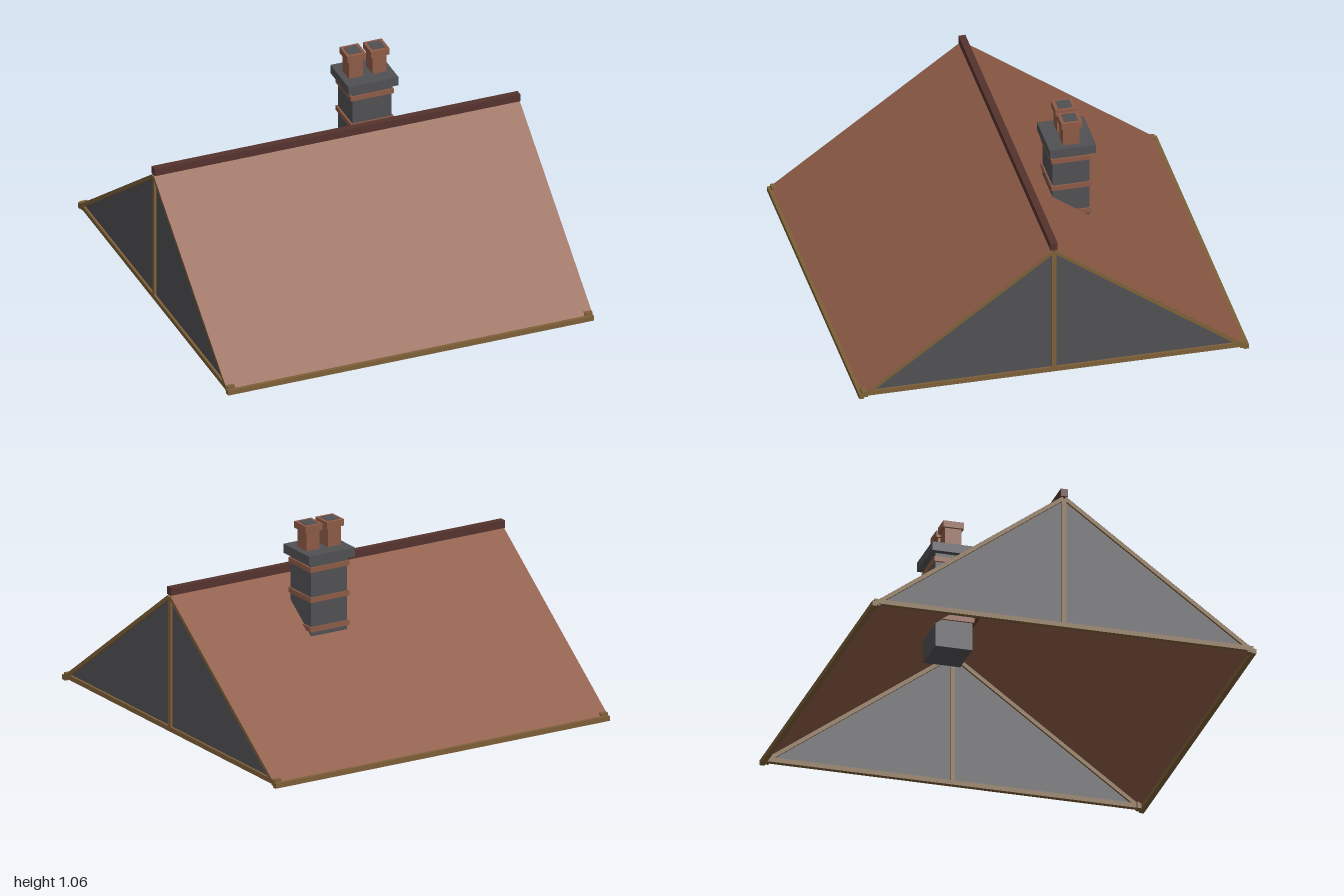
import * as THREE from 'three';

const mat = (name, color) => new THREE.MeshStandardMaterial({ name, color });

export function createModel() {
  const model = new THREE.Group();
  model.name = 'roof';
  const tile = mat('terracotta', 0x8c5a45);
  const slate = mat('slate grey', 0x505054);
  const ridgeBrown = mat('dark ridge brown', 0x55322d);
  const wood = mat('timber', 0x7d5f38);
  tile.side = slate.side = THREE.DoubleSide;

  const HALF = 0.98, APEX = 0.74, EAVE_Y = 0.025, EAVE_Z = 0.985;
  const slopeLength = Math.hypot(APEX - EAVE_Y, EAVE_Z);
  const pitch = Math.atan2(APEX - EAVE_Y, EAVE_Z);

  function add(name, geometry, material, x, y, z, parent = model) {
    const mesh = new THREE.Mesh(geometry, material);
    mesh.name = name;
    mesh.position.set(x, y, z);
    parent.add(mesh);
    return mesh;
  }
  // box given by its minimum and maximum on each axis
  function block(name, material, [x0, x1], [y0, y1], [z0, z1], parent = model) {
    return add(name, new THREE.BoxGeometry(x1 - x0, y1 - y0, z1 - z0), material,
      (x0 + x1) / 2, (y0 + y1) / 2, (z0 + z1) / 2, parent);
  }

  // roof slopes and eave beams
  for (const s of [1, -1]) {
    const slope = add(s > 0 ? 'frontSlope' : 'backSlope', new THREE.PlaneGeometry(2 * HALF, slopeLength),
      tile, 0, (APEX + EAVE_Y) / 2, s * EAVE_Z / 2);
    slope.rotation.order = 'YXZ';
    slope.rotation.set(pitch - Math.PI / 2, s > 0 ? 0 : Math.PI, 0);
    add('eaveBeam', new THREE.BoxGeometry(2 * HALF, 0.026, 0.025), wood, 0, 0.018, s * 0.9825);
  }

  // ridge cap
  block('ridgeCap', ridgeBrown, [-HALF, HALF], [0.735, 0.775], [-0.018, 0.018]);

  // gable ends: panel, post, base beam, rafters and corner blocks
  const triangle = new THREE.Shape([
    new THREE.Vector2(-0.965, 0.03), new THREE.Vector2(0.965, 0.03), new THREE.Vector2(0, APEX - 0.01),
  ]);
  for (const s of [1, -1]) {
    const gable = new THREE.Group();
    gable.name = s > 0 ? 'leftGable' : 'rightGable';
    model.add(gable);
    const x = s * 0.967;
    const panel = add('gablePanel', new THREE.ShapeGeometry(triangle), slate, x, 0, 0, gable);
    panel.rotation.y = s * Math.PI / 2;
    add('gablePost', new THREE.BoxGeometry(0.025, 0.69, 0.022), wood, x, 0.375, 0, gable);
    add('gableBaseBeam', new THREE.BoxGeometry(0.025, 0.025, 1.95), wood, x, 0.032, 0, gable);
    for (const f of [1, -1]) {
      const rafter = add('rafter', new THREE.BoxGeometry(0.025, 0.02, slopeLength - 0.01), wood,
        x, (APEX + EAVE_Y) / 2 - 0.0125, f * EAVE_Z / 2, gable);
      rafter.rotation.x = f * pitch;
      add('cornerBlock', new THREE.BoxGeometry(0.04, 0.034, 0.03), wood, s * 0.957, 0.028, f * 0.966, gable);
    }
  }

  // chimney stack
  const chimney = new THREE.Group();
  chimney.name = 'chimney';
  model.add(chimney);
  block('chimneyShaft', slate, [0.145, 0.355], [0.375, 0.885], [-0.332, -0.142], chimney);
  for (const y of [0.535, 0.69, 0.848])
    block('chimneyBand', tile, [0.135, 0.364], [y - 0.013, y + 0.013], [-0.34, -0.134], chimney);
  block('chimneyCap', slate, [0.115, 0.384], [0.883, 0.93], [-0.358, -0.121], chimney);

  // chimney pots
  for (const x of [0.187, 0.313]) {
    block('pot', tile, [x - 0.038, x + 0.038], [0.93, 1.035], [-0.282, -0.197], chimney);
    block('potRim', tile, [x - 0.05, x + 0.05], [1.03, 1.064], [-0.293, -0.186], chimney);
    block('potOpening', slate, [x - 0.034, x + 0.034], [1.062, 1.067], [-0.275, -0.205], chimney);
  }
  return model;
}
